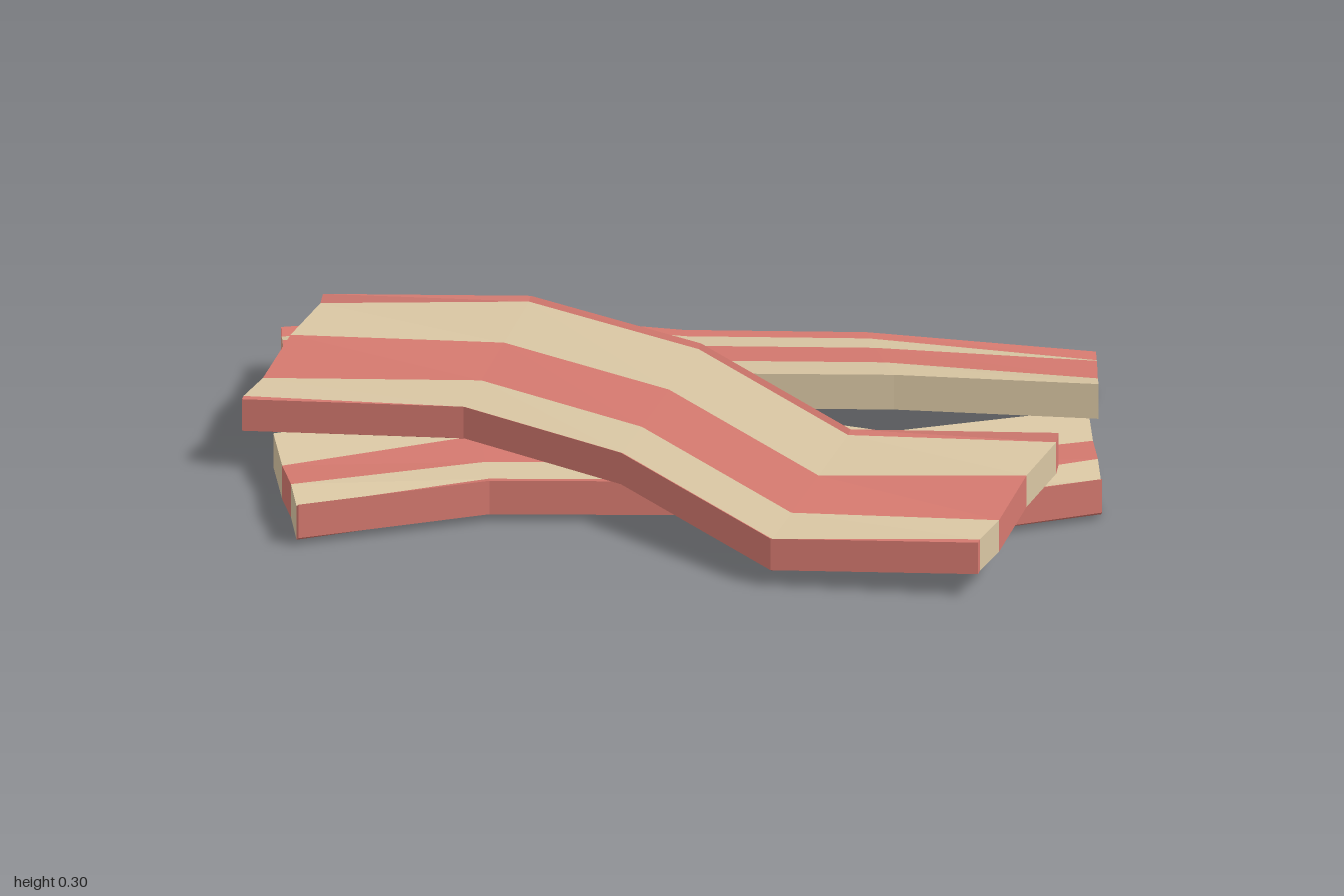
import * as THREE from 'three';

const lean = new THREE.MeshStandardMaterial({ color: 0xd5796f });
lean.name = 'lean red';
const fat = new THREE.MeshStandardMaterial({ color: 0xd9c6a3 });
fat.name = 'cream fat';
lean.flatShading = fat.flatShading = true;

// One wavy slab: back and front edges are [x, topY, z] per station,
// bands are [end fraction, material] from back to front.
function makeStrip(name, back, front, thickness, bands, sag, endRipple) {
  const group = new THREE.Group();
  group.name = name;
  const last = back.length - 1;
  const cuts = [0, ...bands.map((b) => b[0])];

  // Point on the top or underside at a station and a cut
  const point = (s, c, under) => {
    const p = new THREE.Vector3(...back[s]).lerp(new THREE.Vector3(...front[s]), cuts[c]);
    const inner = c > 0 && c < cuts.length - 1;
    if (inner) p.y -= sag;
    if (inner && (s === 0 || s === last)) p.y += c % 2 ? -endRipple : endRipple;
    if (under) p.y -= thickness;
    return p;
  };

  bands.forEach(([, material], c) => {
    const pos = [];
    const quad = (a, b, d, e) => [a, b, d, a, d, e].forEach((p) => pos.push(p.x, p.y, p.z));
    for (let s = 0; s < last; s++) {
      const t = [point(s, c), point(s, c + 1), point(s + 1, c + 1), point(s + 1, c)];
      const u = [point(s, c, 1), point(s, c + 1, 1), point(s + 1, c + 1, 1), point(s + 1, c, 1)];
      quad(t[0], t[1], t[2], t[3]);
      quad(u[3], u[2], u[1], u[0]);
      // Long sides belong to the outermost bands
      if (c === 0) quad(t[3], u[3], u[0], t[0]);
      if (c === bands.length - 1) quad(t[1], u[1], u[2], t[2]);
    }
    // Cut ends
    quad(point(0, c), point(0, c, 1), point(0, c + 1, 1), point(0, c + 1));
    quad(point(last, c + 1), point(last, c + 1, 1), point(last, c, 1), point(last, c));
    const geometry = new THREE.BufferGeometry();
    geometry.setAttribute('position', new THREE.Float32BufferAttribute(pos, 3));
    geometry.computeVertexNormals();
    const mesh = new THREE.Mesh(geometry, material);
    mesh.name = (material === lean ? 'leanBand' : 'fatBand') + (c + 1);
    group.add(mesh);
  });
  return group;
}

export function createModel() {
  const model = new THREE.Group();
  model.name = 'baconStrips';

  // Flat strip at the bottom
  model.add(makeStrip('bottomStrip',
    [[-0.93, 0.095, -0.13], [-0.45, 0.095, -0.27], [0.02, 0.095, -0.24], [0.48, 0.095, -0.02], [0.95, 0.095, -0.12]],
    [[-0.91, 0.095, 0.315], [-0.46, 0.095, 0.205], [0, 0.095, 0.25], [0.48, 0.095, 0.45], [0.945, 0.095, 0.315]],
    0.083, [[0.35, fat], [0.7, lean], [0.92, fat], [1, lean]], 0.01, 0.008));

  // Strip at the back, leaning forward onto the others
  model.add(makeStrip('backStrip',
    [[-0.86, 0.115, -0.735], [-0.39, 0.115, -0.78], [0.06, 0.12, -0.625], [0.48, 0.11, -0.6], [1, 0.09, -0.485]],
    [[-0.89, 0.19, -0.27], [-0.41, 0.2, -0.31], [0.08, 0.205, -0.14], [0.5, 0.205, -0.095], [0.965, 0.2, -0.01]],
    0.086, [[0.09, lean], [0.31, fat], [0.65, lean], [1, fat]], 0.006, 0.008));

  // Diagonal strip lying on top
  model.add(makeStrip('topStrip',
    [[-0.78, 0.27, -0.545], [-0.31, 0.295, -0.43], [0.06, 0.272, -0.16], [0.37, 0.212, 0.25], [0.84, 0.235, 0.37]],
    [[-1, 0.17, -0.16], [-0.5, 0.19, -0.02], [-0.16, 0.172, 0.25], [0.15, 0.112, 0.66], [0.62, 0.13, 0.77]],
    0.078, [[0.03, lean], [0.4, fat], [0.74, lean], [0.98, fat], [1, lean]], 0.006, 0.009));

  return model;
}
